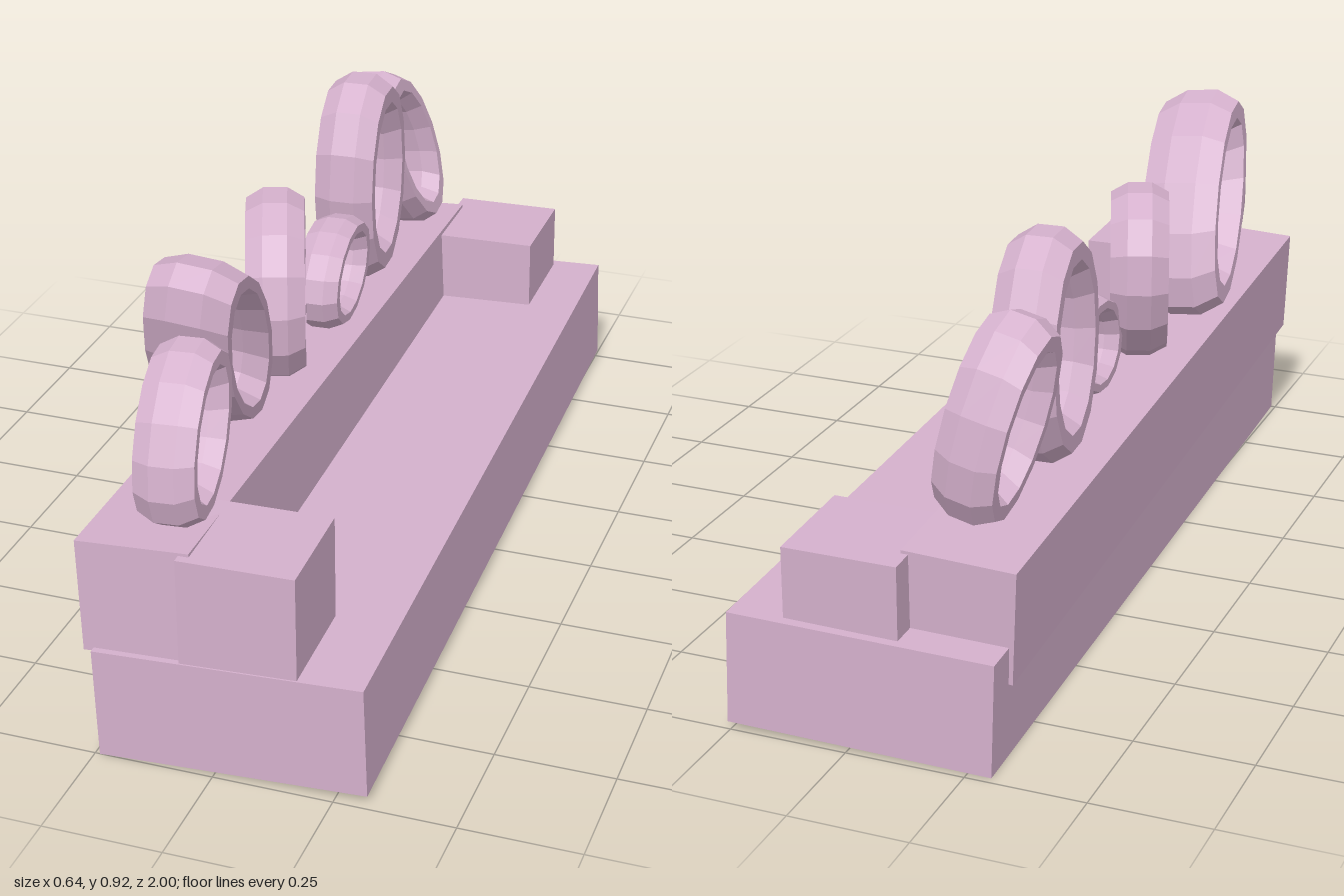
import * as THREE from 'three';

const material = new THREE.MeshStandardMaterial({ color: 0xd4b0cc, flatShading: true });

// Slightly askew block
function block(name, size, position, rotation = [0, 0, 0]) {
  const mesh = new THREE.Mesh(new THREE.BoxGeometry(...size), material);
  mesh.name = name;
  mesh.position.set(...position);
  mesh.rotation.set(...rotation);
  return mesh;
}

// Unit ring around the x axis with an eight-sided section, outer radius 1
function ringGeometry() {
  const profile = [];
  for (let i = 0; i <= 8; i++) {
    const a = Math.PI / 8 - (i * Math.PI) / 4;
    const k = 1 / Math.cos(Math.PI / 8);
    profile.push(new THREE.Vector2(0.82 + 0.18 * k * Math.cos(a), -0.5 * k * Math.sin(a)));
  }
  return new THREE.LatheGeometry(profile, 14).rotateZ(Math.PI / 2);
}

// Oval ring: long and short half-axes, width along x, tilt (top towards +z), yaw, roll
function ring({ at, long, short, width, tilt, yaw = 0, roll = 0 }) {
  const geometry = ringGeometry().scale(width, long, short);
  geometry.rotateX(tilt).rotateZ(roll).rotateY(yaw);
  const mesh = new THREE.Mesh(geometry, material);
  mesh.name = 'backRing';
  mesh.position.set(...at);
  return mesh;
}

export function createModel() {
  const model = new THREE.Group();
  model.name = 'ringBackedBench';

  // Seat, raised back ledge and the two arm blocks
  model.add(
    block('seatBase', [0.555, 0.24, 1.985], [0.004, 0.132, 0], [0, 0.03, 0.03]),
    block('backLedge', [0.235, 0.24, 1.89], [-0.178, 0.325, 0.035], [-0.038, 0.022, 0.05]),
    block('frontArm', [0.24, 0.24, 0.24], [0.05, 0.36, 0.868], [0, 0.03, 0.002]),
    block('backArm', [0.24, 0.24, 0.245], [0.02, 0.29, -0.85], [-0.02, 0.02, 0.01])
  );

  // Row of rings standing on the ledge, front to back
  const rings = [
    { at: [-0.125, 0.645, 0.795], long: 0.186, short: 0.112, width: 0.125, tilt: -0.6, yaw: 0.06, roll: 0.03 },
    { at: [-0.185, 0.695, 0.505], long: 0.272, short: 0.122, width: 0.175, tilt: 0.64, yaw: 0.05, roll: -0.1 },
    { at: [-0.187, 0.652, 0.125], long: 0.206, short: 0.175, width: 0.125, tilt: -0.5, yaw: 0.35 },
    { at: [-0.155, 0.567, -0.14], long: 0.15, short: 0.11, width: 0.1, tilt: -1.3, yaw: 0.05 },
    { at: [-0.19, 0.675, -0.435], long: 0.246, short: 0.164, width: 0.135, tilt: 0, yaw: 0.06 },
    { at: [-0.205, 0.63, -0.722], long: 0.214, short: 0.108, width: 0.135, tilt: 0.3, yaw: -0.1, roll: 0.18 }
  ];
  const row = new THREE.Group();
  row.name = 'backRings';
  rings.forEach((r) => row.add(ring(r)));
  model.add(row);

  return model;
}
